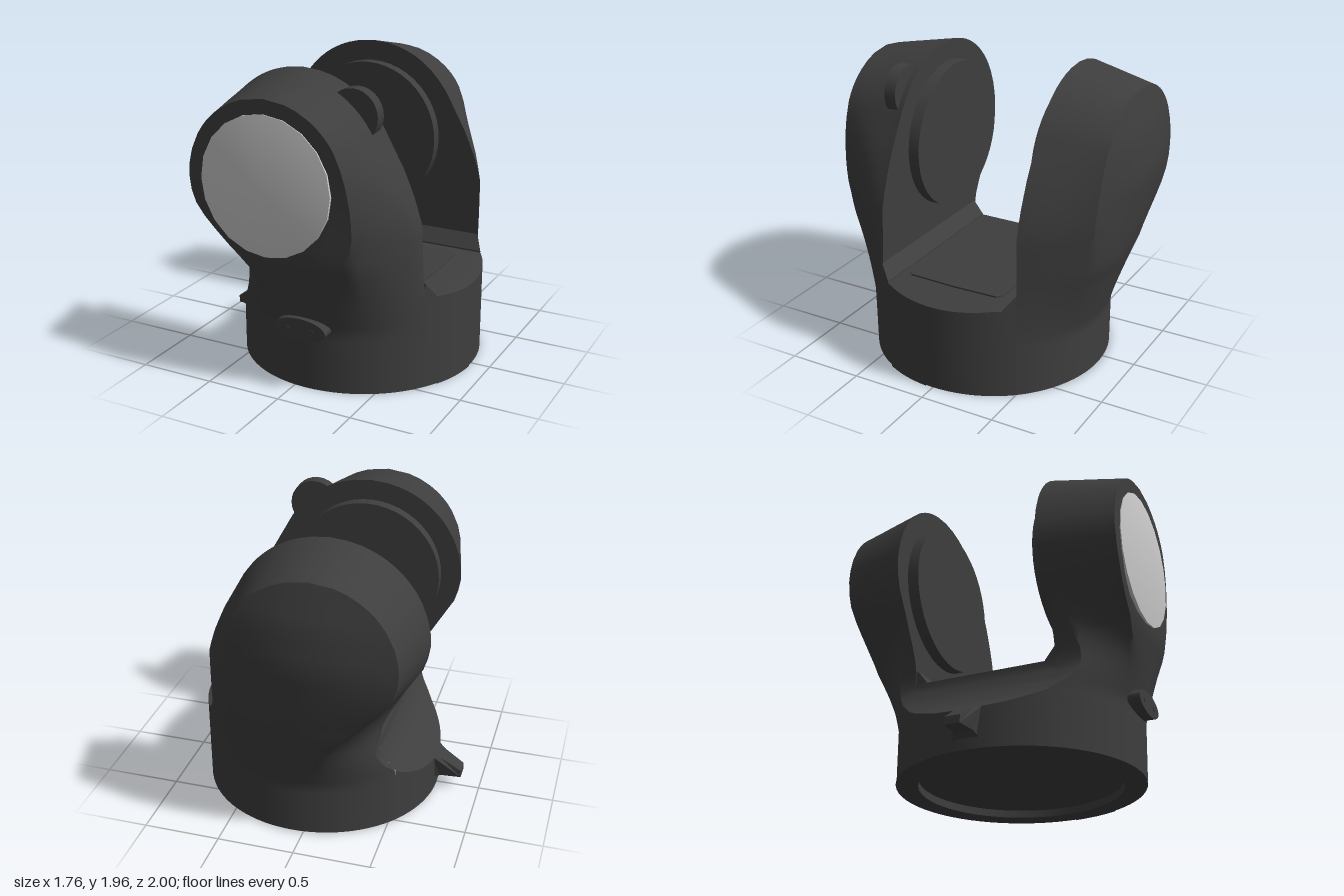
import * as THREE from 'three';
import { toCreasedNormals } from 'three/addons/utils/BufferGeometryUtils.js';

const dark = new THREE.MeshStandardMaterial({ color: 0x3e3e3e });
const darkDouble = new THREE.MeshStandardMaterial({ color: 0x3e3e3e, side: THREE.DoubleSide });
const grey = new THREE.MeshStandardMaterial({ color: 0xcccccc });

const CX = 0.08, R = 0.79;            // base cylinder
const HX = -0.1, HY = 1.33;           // pivot axis of the arms
const R_IN = 0.625, R_OUT = 0.53;     // arm head radius, inner and outer face
const FLOOR = 0.6;
const { lerp, smoothstep } = THREE.MathUtils;
const rimX = (z, sign) => CX + sign * Math.sqrt(R * R - z * z);

// piecewise linear lookup in [[y, value], ...]
function at(table, y) {
  if (y <= table[0][0]) return table[0][1];
  for (let i = 1; i < table.length; i++) {
    const [y0, v0] = table[i - 1], [y1, v1] = table[i];
    if (y <= y1) return v0 + (v1 - v0) * (y - y0) / (y1 - y0);
  }
  return table[table.length - 1][1];
}

// side profiles of the arms
const leftIn = [[0.2, -0.8], [0.27, -0.68], [0.35, -0.57], [0.45, -0.48], [0.55, -0.43], [0.65, -0.425],
  [0.75, -0.45], [0.85, -0.5], [1.05, -0.63], [1.18, -0.7], [1.33, -0.725]];
const leftOut = [[0.4, -0.36], [0.65, -0.36], [0.85, -0.43], [1.05, -0.56], [1.18, -0.61], [1.33, -0.63]];
const rightIn = [[0.6, 0.74], [0.7, 0.72], [1.08, 0.7], [1.25, 0.645], [1.4, 0.58], [1.65, 0.44], [1.7, -0.2]];
const rightOut = [[0.6, 0.58], [0.85, 0.575], [1.08, 0.55], [1.2, 0.51], [1.4, 0.44], [1.5, 0.4], [1.55, -0.2]];

// skin equal rows of points; each row is closed into a loop from row closeFrom on
function loft(rows, closeFrom) {
  const n = rows[0].length, idx = [];
  for (let i = 0; i < rows.length - 1; i++)
    for (let j = 0; j < (i < closeFrom ? n - 1 : n); j++) {
      const k = (j + 1) % n, a = i * n + j, b = i * n + k;
      idx.push(a, b, b + n, a, b + n, a + n);
    }
  const g = new THREE.BufferGeometry();
  g.setAttribute('position', new THREE.Float32BufferAttribute(rows.flat(2), 3));
  g.setIndex(idx);
  return toCreasedNormals(g, 0.55);
}

// one upright arm: round at the base, tapering disc at the head
function armGeometry(dir, zin, depth, bulge) {
  const M = 40, SIDE = 0.3;
  const ys = [0, 0.1, 0.2, 0.27, 0.31, 0.35, 0.4, 0.45, 0.5, 0.55, 0.6, 0.65, 0.7, 0.75, 0.8, 0.85, 0.92, 1.0, 1.08, 1.16, 1.24];
  for (const h of [0, 0.08, 0.17, 0.27, 0.32, 0.36, 0.4, 0.44, 0.48, 0.51, 0.53, 0.55, 0.575, 0.595, 0.615, 0.625]) ys.push(HY + h);
  const rows = ys.map(y => {
    const h = y - HY, full = at(depth, y), slope = (R_IN - R_OUT) / (full - zin);
    const zt = h > R_OUT ? zin + (R_IN - h) / slope : full;
    const side = (sign, f) => {
      const r = R_IN - slope * f * (zt - zin);
      const half = Math.sqrt(Math.max(0, r * r - h * h));
      if (sign < 0) return h >= 0 ? HX - half : lerp(at(leftIn, y), at(leftOut, y), f);
      return Math.max(HX + half, lerp(at(rightIn, y), at(rightOut, y), f));
    };
    // the scoop trims the left end of the round section
    const a0 = Math.asin(zin / R);
    const aLeft = Math.min(Math.PI - a0, Math.acos(Math.max(-1, (at(leftIn, y) - CX) / R)));
    const row = [];
    for (let i = 0; i <= M; i++) {
      const s = i / M;
      // flat-faced section of the head
      let x, z = zt;
      if (s < SIDE) { x = side(-1, s / SIDE); z = lerp(zin, zt, s / SIDE); }
      else if (s > 1 - SIDE) { x = side(1, (1 - s) / SIDE); z = lerp(zin, zt, (1 - s) / SIDE); }
      else {
        const q = (s - SIDE) / (1 - 2 * SIDE);
        x = lerp(side(-1, 1), side(1, 1), q);
        z += at(bulge, y) * Math.sin(Math.PI * q);
      }
      // round section of the base, reaching higher on the right shoulder
      const a = lerp(aLeft, a0, Math.max(0, i - 1) / (M - 1));
      const cx = Math.min(CX + R * Math.cos(a), side(1, 0));
      const cz = i === 0 ? zin : zin + (R * Math.sin(a) - zin) * (zt - zin) / (R - zin);
      const w = 1 - smoothstep(y, 0.4, lerp(1.25, 1.8, smoothstep(s, 0.45, 0.7)));
      row.push([lerp(x, cx, w), y, dir * lerp(z, cz, w)]);
    }
    return dir > 0 ? row : row.reverse();
  });
  return loft(rows, 3);
}

// part of the base between the arms, with the scooped left side
function middleGeometry() {
  const scoopStart = leftIn.slice(0, 5).map(([y, x]) => [x, y]);
  const N = 24, rows = [];
  for (let i = 0; i <= N; i++) {
    const z = lerp(-0.5, 0.45, i / N), l = rimX(z, -1), r = rimX(z, 1);
    const edge = Math.min(0.77, r), y0 = at(scoopStart, l);
    const row = [[r, 0, z], [r, FLOOR - (r - edge) * 0.25, z], [edge, FLOOR, z]];
    for (let k = 10; k >= 0; k--) {
      const y = lerp(y0, FLOOR, k / 10);
      row.push([Math.max(l, at(leftIn, y)), y, z]);
    }
    row.push([l, 0, z]);
    rows.push(row);
  }
  return loft(rows, Infinity);
}

function extrude(points, depth) {
  const shape = new THREE.Shape(points.map(p => new THREE.Vector2(...p)));
  return new THREE.ExtrudeGeometry(shape, { depth, bevelEnabled: false });
}

// move each vertex by a rule
function reshape(geometry, rule) {
  const p = geometry.attributes.position;
  for (let i = 0; i < p.count; i++) p.setXYZ(i, ...rule(p.getX(i), p.getY(i), p.getZ(i)));
  geometry.computeVertexNormals();
  return geometry;
}

export function createModel() {
  const model = new THREE.Group();
  const add = (name, geometry, material = dark, x = 0, y = 0, z = 0) => {
    const m = new THREE.Mesh(geometry, material);
    m.name = name;
    m.position.set(x, y, z);
    model.add(m);
  };

  add('baseMiddle', middleGeometry());
  add('frontArm', armGeometry(1, 0.45,
    [[0, 0.79], [0.4, 0.8], [0.5, 0.83], [0.7, 0.885], [0.88, 0.93]], [[0, 0]]));
  add('backArm', armGeometry(-1, 0.5,
    [[0, 0.78], [0.35, 0.78], [0.6, 0.855], [0.8, 0.91], [0.9, 0.92]],
    [[0.7, 0], [1.0, 0.045], [1.33, 0.08], [1.6, 0.06], [1.86, 0]]));

  // pivot discs on the inner faces
  for (const [name, z] of [['frontPivotDisc', 0.415], ['backPivotDisc', -0.465]])
    add(name, new THREE.CylinderGeometry(0.49, 0.49, 0.08, 48).rotateX(Math.PI / 2), dark, HX, HY, z);

  // shallow pointed cover on the front arm
  const cover = [[0.44, 0.89], [0.44, 0.936], [0, 1]].map(p => new THREE.Vector2(...p));
  add('armCover', toCreasedNormals(new THREE.LatheGeometry(cover, 20).rotateX(Math.PI / 2), 0.6), grey, HX, HY);

  // round tab on the shoulder
  add('shoulderTab', new THREE.CylinderGeometry(0.165, 0.165, 0.08, 28).rotateX(Math.PI / 2), dark, 0.295, 1.725, 0.53);

  // sloped fillets where the floor meets the arms, ending on the round rim
  for (const [name, u, d] of [['frontFillet', -0.45, 0.07], ['backFillet', 0.5, -0.07]]) {
    const strip = extrude([[u, 0.7], [u, 0.58], [u + d, 0.58], [u + d, 0.61]], 1).rotateY(Math.PI / 2);
    add(name, reshape(strip, (x, y, z) => [x > 0.5 ? rimX(z, 1) : -0.42, y, z]));
  }

  // raised floor panel with cut corners
  add('floorPanel', extrude([[-0.06, -0.36], [0.25, -0.36], [0.58, -0.34], [0.61, -0.31], [0.62, 0], [0.61, 0.31], [0.58, 0.34],
    [0.25, 0.36], [-0.06, 0.34], [-0.09, 0.31], [-0.1, 0], [-0.09, -0.31]], 0.03).rotateX(-Math.PI / 2), dark, 0, 0.58);

  // oval button plate with two screws
  const oval = new THREE.CylinderGeometry(1, 1, 0.1, 32).rotateX(Math.PI / 2).scale(0.18, 0.074, 1);
  add('ovalPlate', oval, dark, CX, 0.424, 0.813);
  for (const x of [-0.01, 0.17])
    add('plateScrew', new THREE.CylinderGeometry(0.016, 0.016, 0.02, 12).rotateX(Math.PI / 2), dark, x, 0.424, 0.857);

  // pointed side lug, flaring towards the base
  const lug = extrude([[-0.88, 0.1], [-0.74, 0.1], [-0.69, 0.05], [-0.6, 0.05], [-0.6, 0.27], [-0.69, 0.265], [-0.74, 0.24], [-0.88, 0.15]], 0.1);
  const flare = [[-0.88, 1], [-0.74, 1.25], [-0.69, 2], [-0.6, 2]];
  add('sideLug', reshape(lug, (x, y, z) => [x, y, (z - 0.05) * at(flare, x)]));

  // low curved door on the right-hand rim
  add('rimDoor', new THREE.CylinderGeometry(R + 0.007, R + 0.007, 0.09, 10, 1, true, Math.PI / 2 - 0.48, 0.42),
    darkDouble, CX, 0.045, 0);

  // underside rim and recess
  add('bottomRim', new THREE.RingGeometry(0.65, R, 64).rotateX(Math.PI / 2), dark, CX, 0.001);
  add('recessWall', new THREE.CylinderGeometry(0.65, 0.65, 0.05, 64, 1, true), darkDouble, CX, 0.026);
  add('recessPlate', new THREE.CircleGeometry(0.65, 64).rotateX(Math.PI / 2), dark, CX, 0.05);

  return model;
}
